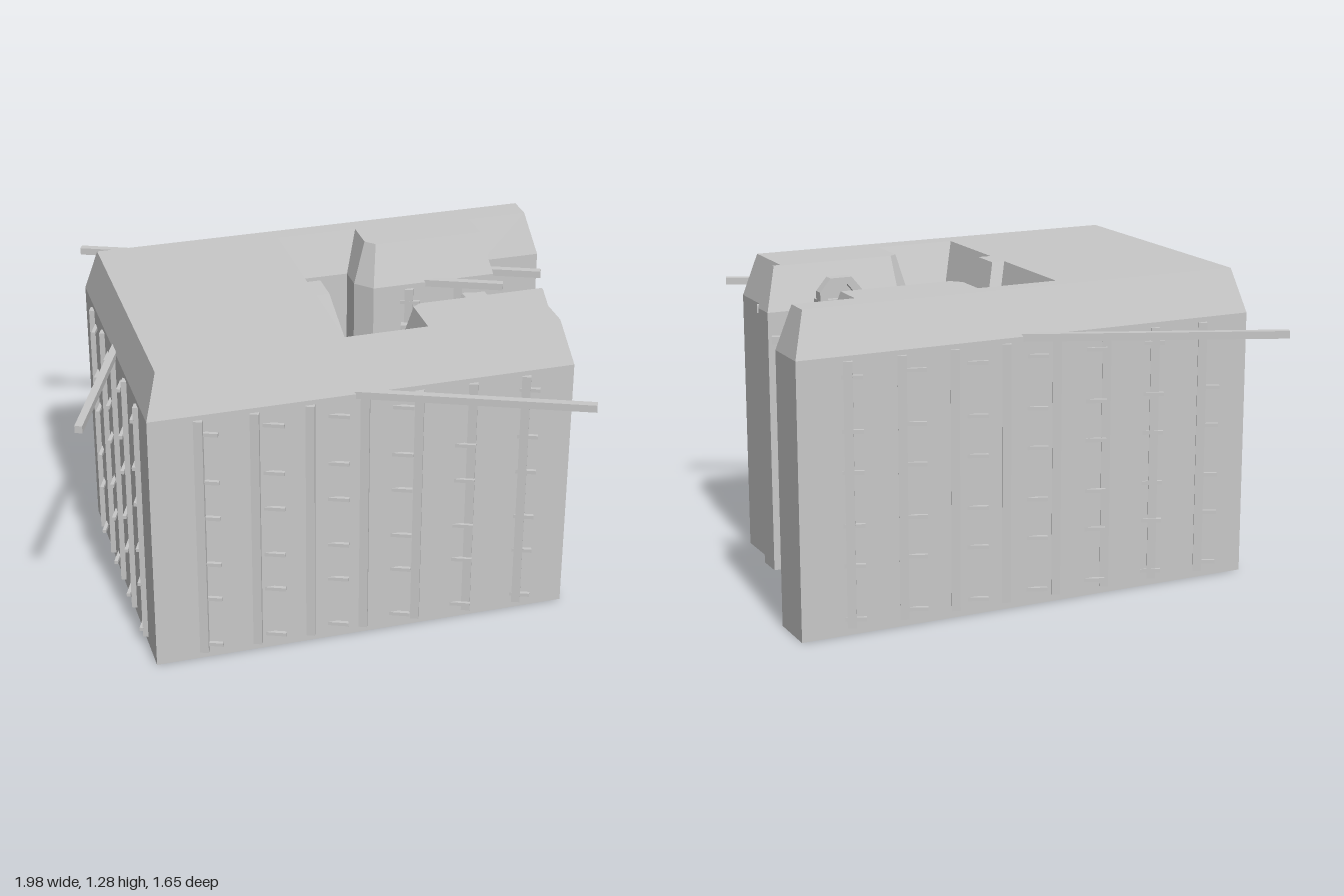
import * as THREE from 'three';

const TURN = 0.2013;   // heading of the whole building
const EAVE = 1.1, TOP = 1.28, INSET = 0.05;

// Plan of the U-shaped building, [x, z] from its back corner
const PLAN = [
  [0, 0], [1.955, 0], [1.955, 0.208], [1.70, 0.208], [1.70, 0.35], [1.165, 0.35], [1.10, 0.28],
  [1.10, 0.175], [0.86, 0.175], [0.86, 0.53], [0.915, 0.53], [0.915, 0.76], [0.86, 0.76],
  [0.86, 1.05], [1.10, 1.05], [1.10, 0.895], [1.165, 0.845], [1.75, 0.845], [1.75, 0.96],
  [1.715, 0.96], [1.715, 1.235], [0, 1.235],
];

// Move every side of the plan inwards by d, with mitred corners
function insetPlan(plan, d) {
  const n = plan.length;
  const normal = (i) => {
    const p = plan[(i + n) % n], q = plan[(i + 1) % n];
    const l = Math.hypot(q[0] - p[0], q[1] - p[1]);
    return [-(q[1] - p[1]) / l, (q[0] - p[0]) / l];
  };
  return plan.map((p, i) => {
    const a = normal(i - 1), b = normal(i);
    const k = d / (1 + a[0] * b[0] + a[1] * b[1]);
    return [p[0] + (a[0] + b[0]) * k, p[1] + (a[1] + b[1]) * k];
  });
}

// Flat-faced band between two matching outlines
function band(low, y0, high, y1) {
  const v = [];
  low.forEach((p, i) => {
    const j = (i + 1) % low.length;
    const a = [low[j][0], y0, low[j][1]], b = [p[0], y0, p[1]];
    const c = [high[i][0], y1, high[i][1]], d = [high[j][0], y1, high[j][1]];
    v.push(...a, ...b, ...c, ...a, ...c, ...d);
  });
  const g = new THREE.BufferGeometry();
  g.setAttribute('position', new THREE.Float32BufferAttribute(v, 3));
  g.computeVertexNormals();
  return g;
}

export function createModel() {
  const model = new THREE.Group();
  model.name = 'courtyardBuilding';
  const building = new THREE.Group();
  building.name = 'building';
  building.position.set(-0.957, 0, -0.417);
  building.rotation.y = TURN;
  model.add(building);

  const stone = new THREE.MeshStandardMaterial({ color: 0xc8c8c8, side: THREE.DoubleSide });
  stone.name = 'paleGrey';

  const add = (parent, name, geometry, x = 0, y = 0, z = 0, ry = 0) => {
    const m = new THREE.Mesh(geometry, stone);
    m.name = name;
    m.position.set(x, y, z);
    m.rotation.y = ry;
    parent.add(m);
    return m;
  };

  // Shell: walls, sloping roof edge and flat roof, open underneath
  const roofPlan = insetPlan(PLAN, INSET);
  add(building, 'walls', band(PLAN, 0, PLAN, EAVE));
  add(building, 'roofSlope', band(PLAN, EAVE, roofPlan, TOP));
  const flat = new THREE.ShapeGeometry(
    new THREE.Shape(roofPlan.map(([x, z]) => new THREE.Vector2(x, -z))));
  flat.rotateX(-Math.PI / 2);
  add(building, 'flatRoof', flat, 0, TOP, 0);

  // Upright strips, pegs and an eaves beam on the long walls, all set askew to the wall
  const barGeo = new THREE.BoxGeometry(0.035, 1.05, 0.03);
  const pegGeo = new THREE.BoxGeometry(0.13, 0.015, 0.015);
  const pegRows = [0.065, 0.28, 0.44, 0.65, 0.81, 1.02];
  const dressed = {
    back: [[0, 0], [1.955, 0]],
    front: [[0, 1.235], [1.715, 1.235]],
    side: [[0, 0], [0, 1.235]],
    backCourt: [[1.165, 0.35], [1.70, 0.35]],
    frontCourt: [[1.165, 0.845], [1.75, 0.845]],
  };
  for (const [side, [p, q]] of Object.entries(dressed)) {
    const dx = q[0] - p[0], dz = q[1] - p[1], length = Math.hypot(dx, dz);
    const g = new THREE.Group();
    g.name = side + 'WallDetails';
    g.position.set((p[0] + q[0]) / 2, 0, (p[1] + q[1]) / 2);
    g.rotation.y = Math.atan2(-dz, dx);
    building.add(g);
    const spread = (gap, place) => {
      const n = Math.floor(length / gap);
      for (let i = 0; i < n; i++) place((i - (n - 1) / 2) * gap);
    };
    const skew = -2 * TURN;
    spread(0.22, (x) => add(g, 'wallStrip', barGeo, x, 0.555, 0, skew));
    spread(0.26, (x) => pegRows.forEach((y) => add(g, 'wallPeg', pegGeo, x, y, 0, skew)));
    add(g, 'eavesBeam', new THREE.BoxGeometry(length + 0.05, 0.03, 0.03), 0, 1.095, 0, skew);
  }

  // Tall portal on the courtyard side of the front wing, facing the back
  const portal = new THREE.Group();
  portal.name = 'portal';
  portal.position.set(1.457, 0, 0.845);
  portal.rotation.y = Math.PI;
  building.add(portal);
  const box = (name, w, h, d, x, y, z) =>
    add(portal, name, new THREE.BoxGeometry(w, h, d), x, y, z);
  box('portalStep', 0.18, 0.03, 0.15, 0, 0.015, 0.075);
  box('portalPlinth', 0.17, 0.06, 0.125, 0, 0.03, 0.0625);
  box('portalPanel', 0.12, 1.04, 0.05, 0, 0.57, 0.025);
  for (const s of [-1, 1]) {
    box('portalColumn', 0.035, 1.03, 0.035, s * 0.06, 0.575, 0.1);
    box('portalPilaster', 0.025, 1.03, 0.08, s * 0.06, 0.575, 0.04);
  }
  box('portalLintel', 0.18, 0.055, 0.13, 0, 1.115, 0.065);

  // Faceted arch above the lintel, with a recessed panel
  const halfArch = (r) => [[-r, 0], [-r, 0.4 * r], [-0.5 * r, r], [0.5 * r, r], [r, 0.4 * r], [r, 0]]
    .map(([x, y]) => new THREE.Vector2(x, y));
  const arch = new THREE.Shape(halfArch(0.092));
  arch.holes.push(new THREE.Path(halfArch(0.058).map((p) => p.add(new THREE.Vector2(0, 0.004)))));
  add(portal, 'portalArch',
    new THREE.ExtrudeGeometry(arch, { depth: 0.045, bevelEnabled: false }), 0, 1.142, 0.03);
  add(portal, 'archPanel',
    new THREE.ExtrudeGeometry(new THREE.Shape(halfArch(0.075)), { depth: 0.06, bevelEnabled: false }),
    0, 1.142, -0.01);

  return model;
}
